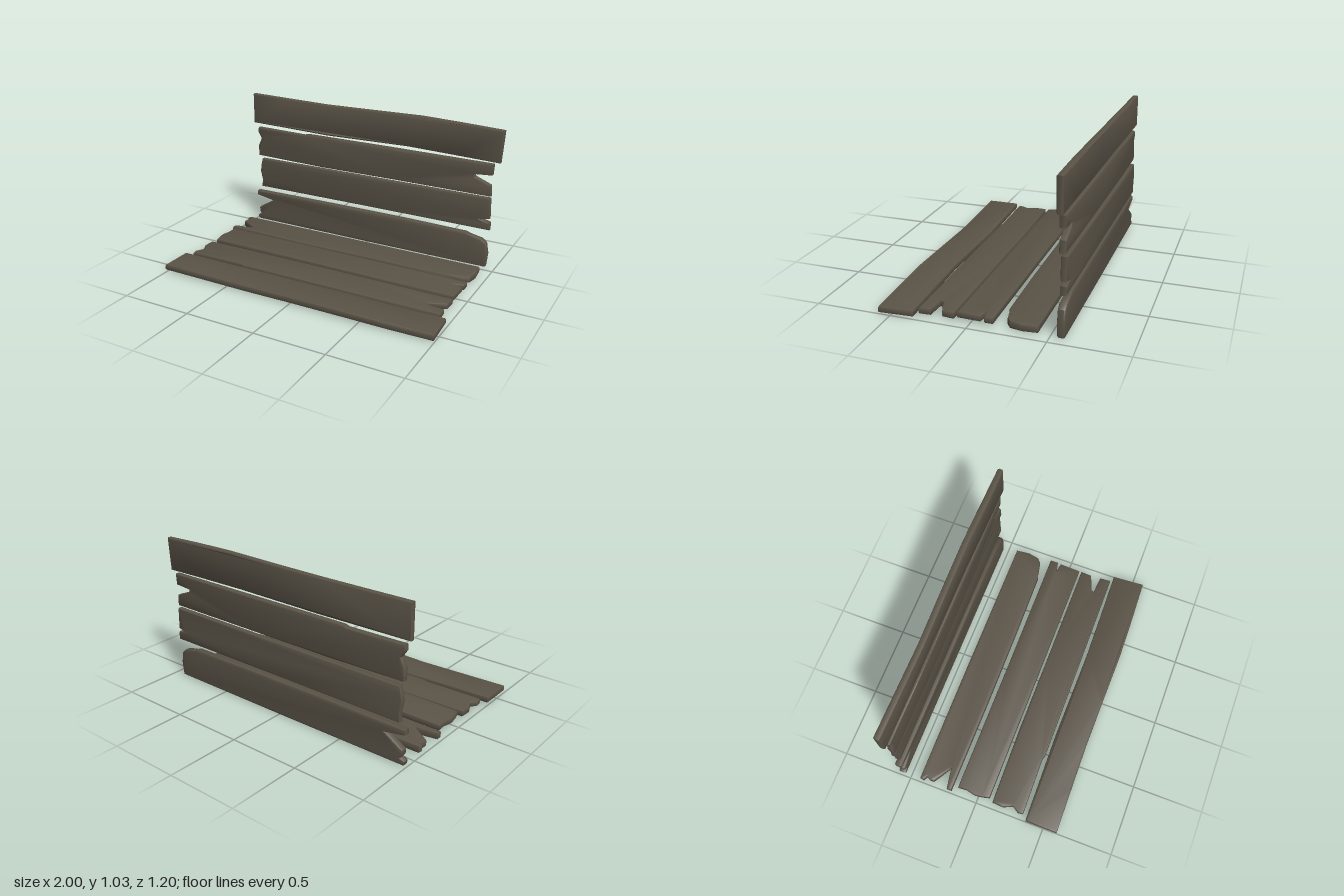
import * as THREE from 'three';
import { toCreasedNormals } from 'three/addons/utils/BufferGeometryUtils.js';

const wood = new THREE.MeshStandardMaterial({ color: 0x5a5347 });
wood.name = 'weathered wood';

// Plank outlines in x, y (clockwise from the top left), depth range in z, and warp along x
const planks = [
  {
    name: 'WidePlank', back: -0.59, front: -0.546, warp: 0.005,
    outline: [[-1, 1.03], [-0.7, 1.025], [-0.35, 1.02], [0, 1.024], [0.4, 1.03], [0.7, 1.022], [1, 1.01],
      [0.985, 0.78], [0.7, 0.788], [0.3, 0.797], [0, 0.793], [-0.35, 0.788], [-0.7, 0.795], [-1, 0.8]],
  },
  {
    name: 'SplitPlank', back: -0.59, front: -0.545, warp: 0.001,
    outline: [[-0.96, 0.768], [-0.55, 0.761], [-0.52, 0.77], [0.2, 0.769], [0.94, 0.765], [0.935, 0.685],
      [0.81, 0.676], [0.815, 0.657], [0.93, 0.612], [0.935, 0.532], [0.2, 0.532], [-0.4, 0.53],
      [-0.96, 0.54], [-0.965, 0.62], [-0.935, 0.685], [-0.965, 0.732]],
  },
  {
    name: 'NotchedPlank', back: -0.599, front: -0.556, warp: 0.001,
    outline: [[-0.94, 0.512], [0, 0.514], [0.93, 0.515], [0.935, 0.362], [0.87, 0.35], [0.94, 0.336], [0.94, 0.278],
      [0, 0.28], [-0.95, 0.278], [-0.945, 0.34], [-0.96, 0.41], [-0.952, 0.465]],
  },
  {
    name: 'ForkedPlank', back: -0.592, front: -0.541, warp: 0.001,
    outline: [[-0.985, 0.24], [-0.3, 0.245], [0.3, 0.243], [0.77, 0.236], [0.8, 0.225], [0.89, 0.207], [0.925, 0.18],
      [0.94, 0.1], [0.93, 0.001], [0, 0], [-0.98, 0.002], [-0.985, 0.03], [-0.955, 0.045], [-0.97, 0.07],
      [-0.97, 0.1], [-0.84, 0.18], [-0.985, 0.205]],
  },
];

function plankGeometry({ outline, back, front, warp }) {
  const bevel = 0.011;
  const shape = new THREE.Shape(outline.map(([x, y]) => new THREE.Vector2(x, y)));
  const geometry = new THREE.ExtrudeGeometry(shape, {
    depth: front - back - 2 * bevel, steps: 1, bevelEnabled: true,
    bevelThickness: bevel, bevelSize: bevel, bevelOffset: -bevel, bevelSegments: 2,
  });
  geometry.translate(0, 0, back + bevel);
  // Gentle bow along the length
  const p = geometry.attributes.position;
  for (let i = 0; i < p.count; i++) {
    p.setZ(i, p.getZ(i) - warp * Math.cos((p.getX(i) + 1) * Math.PI / 0.65));
  }
  return toCreasedNormals(geometry, 0.7);
}

export function createModel() {
  const model = new THREE.Group();
  model.name = 'plankBench';
  const backrest = new THREE.Group();
  backrest.name = 'backrest';
  const seat = new THREE.Group();
  seat.name = 'seat';
  for (const plank of planks) {
    const geometry = plankGeometry(plank);
    for (const group of [backrest, seat]) {
      const mesh = new THREE.Mesh(geometry, wood);
      mesh.name = group.name + plank.name;
      group.add(mesh);
    }
  }
  // The seat is the backrest laid flat
  seat.rotation.x = Math.PI / 2;
  seat.position.set(0, -0.535, -0.43);
  model.add(backrest, seat);
  return model;
}
